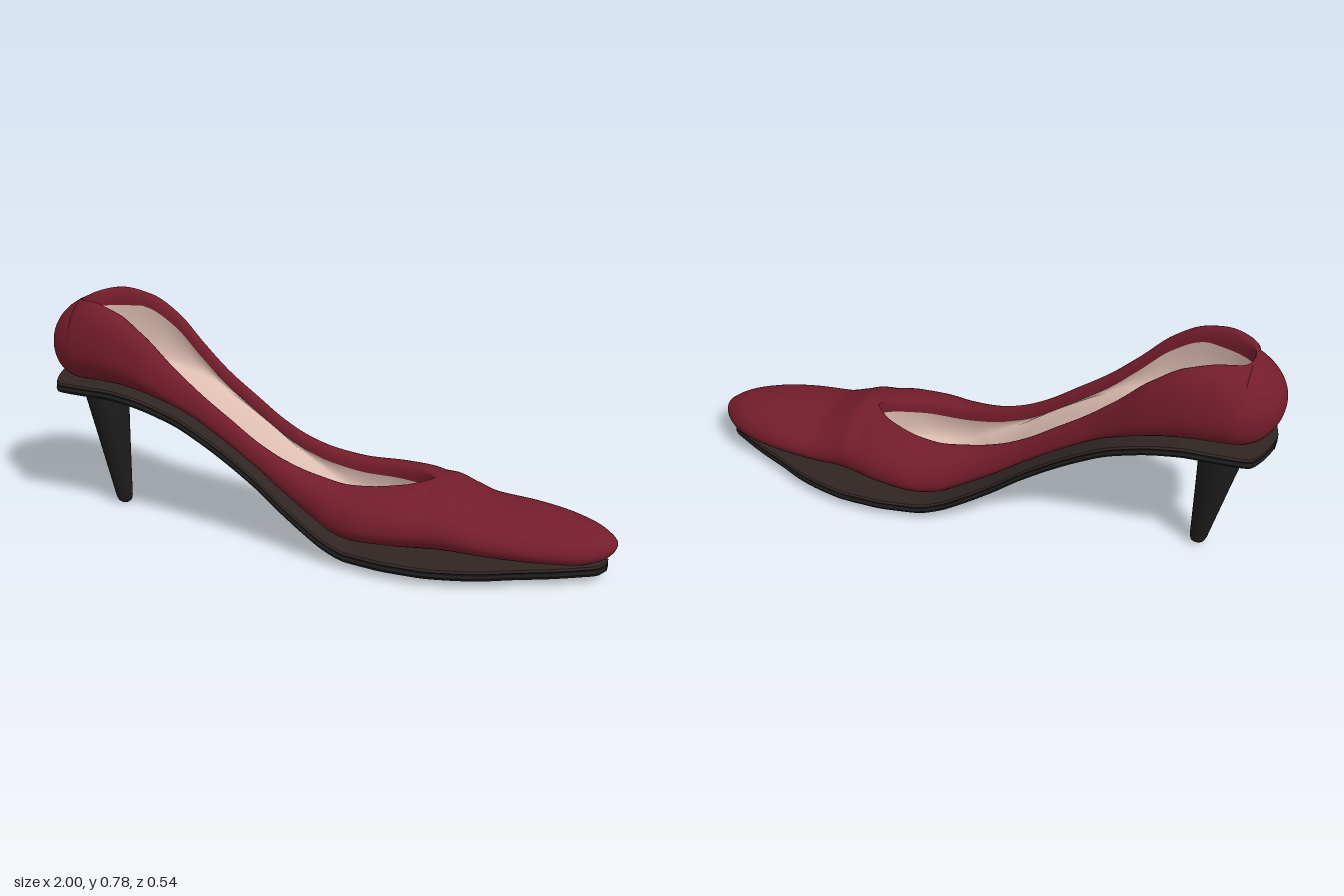
import * as THREE from 'three';

const mat = (name, color, side = THREE.FrontSide) => {
  const m = new THREE.MeshStandardMaterial({ color, side });
  m.name = name;
  return m;
};

// Smooth curve through [x, value] points; spacing by angle keeps the ends round
const angle = x => Math.acos(Math.max(-1, Math.min(1, -x)));
function curve(points) {
  const p = points.map(([x, v]) => [angle(x), v]);
  const n = p.length;
  const slope = i => (p[i + 1][1] - p[i][1]) / (p[i + 1][0] - p[i][0]);
  const tan = p.map((_, i) => {
    if (i === 0) return slope(0);
    if (i === n - 1) return slope(n - 2);
    const a = slope(i - 1), b = slope(i);
    return a * b <= 0 ? 0 : 2 * a * b / (a + b);
  });
  return x => {
    const t = angle(x);
    if (t <= p[0][0]) return p[0][1];
    if (t >= p[n - 1][0]) return p[n - 1][1];
    let i = 0;
    while (t > p[i + 1][0]) i++;
    const h = p[i + 1][0] - p[i][0], s = (t - p[i][0]) / h, s2 = s * s, s3 = s2 * s;
    return (2 * s3 - 3 * s2 + 1) * p[i][1] + (s3 - 2 * s2 + s) * h * tan[i]
      + (3 * s2 - 2 * s3) * p[i + 1][1] + (s3 - s2) * h * tan[i + 1];
  };
}

// Ends of the foot opening
const BACK = -.887, THROAT = .39;

// Outlines along the length, from the back of the heel (-1) to the toe (1)
const topLine = curve([[-1, .62], [-.98, .69], [-.92, .75], [-.87, .773], [-.8, .783], [-.7, .76], [-.6, .695], [-.5, .595], [-.4, .505],
  [-.3, .43], [-.2, .357], [-.1, .303], [0, .27], [.13, .25], [.3, .26], [.38, .267], [.43, .268], [.5, .244], [.58, .214], [.7, .205], [.81, .193], [.92, .171], [.98, .143], [1, .12]]);
const bottomLine = curve([[-1, .62], [-.98, .55], [-.93, .5], [-.88, .487], [-.75, .487], [-.65, .475], [-.5, .43], [-.4, .378],
  [-.3, .316], [-.2, .246], [-.1, .172], [0, .112], [.08, .072], [.15, .058], [.88, .058], [.96, .075], [.985, .092], [1, .12]]);
const upperWidth = curve([[-1, 0], [-.98, .08], [-.93, .135], [-.85, .172], [-.7, .19], [-.6, .185], [-.5, .165], [-.4, .147],
  [-.2, .145], [-.1, .16], [0, .188], [.1, .224], [.2, .243], [.3, .236], [.4, .215], [.5, .196], [.6, .19], [.7, .181], [.8, .16], [.9, .12], [.96, .076], [1, 0]]);
const openingWidth = curve([[BACK, 0], [-.884, .02], [-.875, .036], [-.85, .057], [-.8, .08], [-.7, .104], [-.6, .115], [-.5, .11], [-.4, .103],
  [-.2, .098], [0, .093], [.1, .096], [.2, .088], [.3, .057], [.36, .026], [THROAT, 0]]);
const soleTop = curve([[-1, .494], [-.85, .492], [-.75, .492], [-.65, .48], [-.5, .435], [-.4, .383],
  [-.3, .321], [-.2, .251], [-.1, .177], [0, .117], [.08, .077], [.15, .06], [1, .06]]);
const soleWidth = curve([[-.985, .03], [-.965, .1], [-.93, .155], [-.8, .168], [-.6, .175], [-.4, .172], [-.2, .176],
  [-.1, .19], [0, .213], [.1, .235], [.2, .256], [.3, .27], [.4, .271], [.5, .256], [.6, .227], [.7, .182], [.8, .14], [.9, .09], [.95, .06], [.97, .02]]);

// Skin a row of [z, y] cross-sections from x0 to x1
function loft(x0, x1, steps, section) {
  const pos = [], index = [];
  const t0 = angle(x0), t1 = angle(x1);
  let m = 0;
  for (let i = 0; i <= steps; i++) {
    const x = -Math.cos(t0 + (t1 - t0) * i / steps);
    const s = section(x);
    m = s.length;
    s.forEach(([z, y]) => pos.push(x, y, z));
  }
  for (let i = 0; i < steps; i++) for (let j = 0; j < m - 1; j++) {
    const a = i * m + j, b = a + m;
    index.push(a, a + 1, b, a + 1, b + 1, b);
  }
  const g = new THREE.BufferGeometry();
  g.setAttribute('position', new THREE.Float32BufferAttribute(pos, 3));
  g.setIndex(index);
  g.computeVertexNormals();
  return g;
}

// Turn a half section (centre to edge) into a full one, starting on the given side
const mirror = (half, side) => [
  ...half.slice().reverse().map(([z, y]) => [side * z, y]),
  ...half.slice(1).map(([z, y]) => [-side * z, y])];

// Height where the leather lip meets the lining
const lipLine = x => Math.min(topLine(x) - .045, .722);

// Upper: rounded wall that meets on top, or rolls over a soft lip into the opening
const upperSection = open => x => {
  const yb = bottomLine(x), yt = topLine(x), w = upperWidth(x), o = open ? openingWidth(x) : 0;
  const roll = Math.min(.02, o * .4), rim = o + roll, mid = yb + (yt - yb) * .43;
  const half = [];
  for (let i = 0; i <= 10; i++) {
    const a = i / 10 * Math.PI / 2;
    half.push([w * Math.pow(Math.sin(a), .75), mid - (mid - yb) * Math.cos(a)]);
  }
  for (let i = 1; i <= 12; i++) {
    const a = i / 12 * Math.PI / 2;
    half.push([rim + (w - rim) * Math.cos(a), mid + (yt - mid) * Math.sin(a)]);
  }
  if (open) for (let i = 1; i <= 4; i++) {
    const a = i / 4 * Math.PI / 2;
    half.push([rim - roll * Math.sin(a), yt - (yt - lipLine(x)) * (1 - Math.cos(a))]);
  }
  return mirror(half, 1);
};

// Lining: inner wall and padded footbed
function liningSection(x) {
  const o = openingWidth(x), y1 = lipLine(x), y0 = bottomLine(x) + .052;
  const half = [[0, y0], [o * .5, y0], [o * .85, y0 + .003], [o * .97, y0 + .015],
    [o * 1.06, y0 + (y1 - y0) * .4], [o * 1.05, y0 + (y1 - y0) * .75], [o, y1]];
  return mirror(half, -1);
}

// Sole layer between two depths below the sole line, with a bevelled edge
function soleLayer(d0, d1, inset) {
  return loft(-.985, .97, 90, x => {
    const w = Math.max(.008, soleWidth(x) - inset), v = w - .006;
    const a = soleTop(x) - d0, b = soleTop(x) - d1, c = (a + b) / 2;
    return [[0, a], [v, a], [v, a], [w, c], [w, c], [v, b], [v, b], [0, b],
      [-v, b], [-v, b], [-w, c], [-w, c], [-v, a], [-v, a], [0, a]];
  });
}

// Close the blunt ends of a sole layer
function soleEnd(x, d0, d1, inset) {
  const g = new THREE.BoxGeometry(.004, d1 - d0, 2 * (soleWidth(x) - inset - .006));
  g.translate(x, soleTop(x) - (d0 + d1) / 2, 0);
  return g;
}

export function createModel() {
  const shoe = new THREE.Group();
  shoe.name = 'shoe';
  const red = mat('burgundy leather', 0x741d2b, THREE.DoubleSide);
  const beige = mat('beige lining', 0xdcbcb0, THREE.DoubleSide);
  const brown = mat('dark brown welt', 0x302624);
  const black = mat('black sole', 0x1c1c1c);
  const add = (name, geometry, material) => {
    const mesh = new THREE.Mesh(geometry, material);
    mesh.name = name;
    shoe.add(mesh);
  };

  add('heelCounter', loft(-1, BACK, 30, upperSection(false)), red);
  add('quarters', loft(BACK, THROAT, 130, upperSection(true)), red);
  add('toeBox', loft(THROAT, 1, 70, upperSection(false)), red);
  add('lining', loft(BACK, THROAT, 130, liningSection), beige);

  // Two sole layers
  for (const [name, d0, d1, inset, m] of [['welt', 0, .012, .003, brown], ['outsole', .0125, .033, 0, black]]) {
    add(name, soleLayer(d0, d1, inset), m);
    add(name + 'Back', soleEnd(-.985, d0, d1, inset), m);
    add(name + 'Toe', soleEnd(.97, d0, d1, inset), m);
  }

  // Tapered heel leaning forward toward a rounded tip
  const profile = [[0, 0], [.014, .002], [.024, .01], [.029, .025], [.056, .25], [.084, .475], [.046, .53], [.041, .546], [.025, .551], [0, .553]];
  const heel = new THREE.LatheGeometry(profile.map(([r, y]) => new THREE.Vector2(r, y)), 32);
  const p = heel.attributes.position;
  for (let i = 0; i < p.count; i++) p.setX(i, p.getX(i) - .778 - .055 * Math.min(1, p.getY(i) / .475));
  heel.computeVertexNormals();
  add('heel', heel, black);

  return shoe;
}
